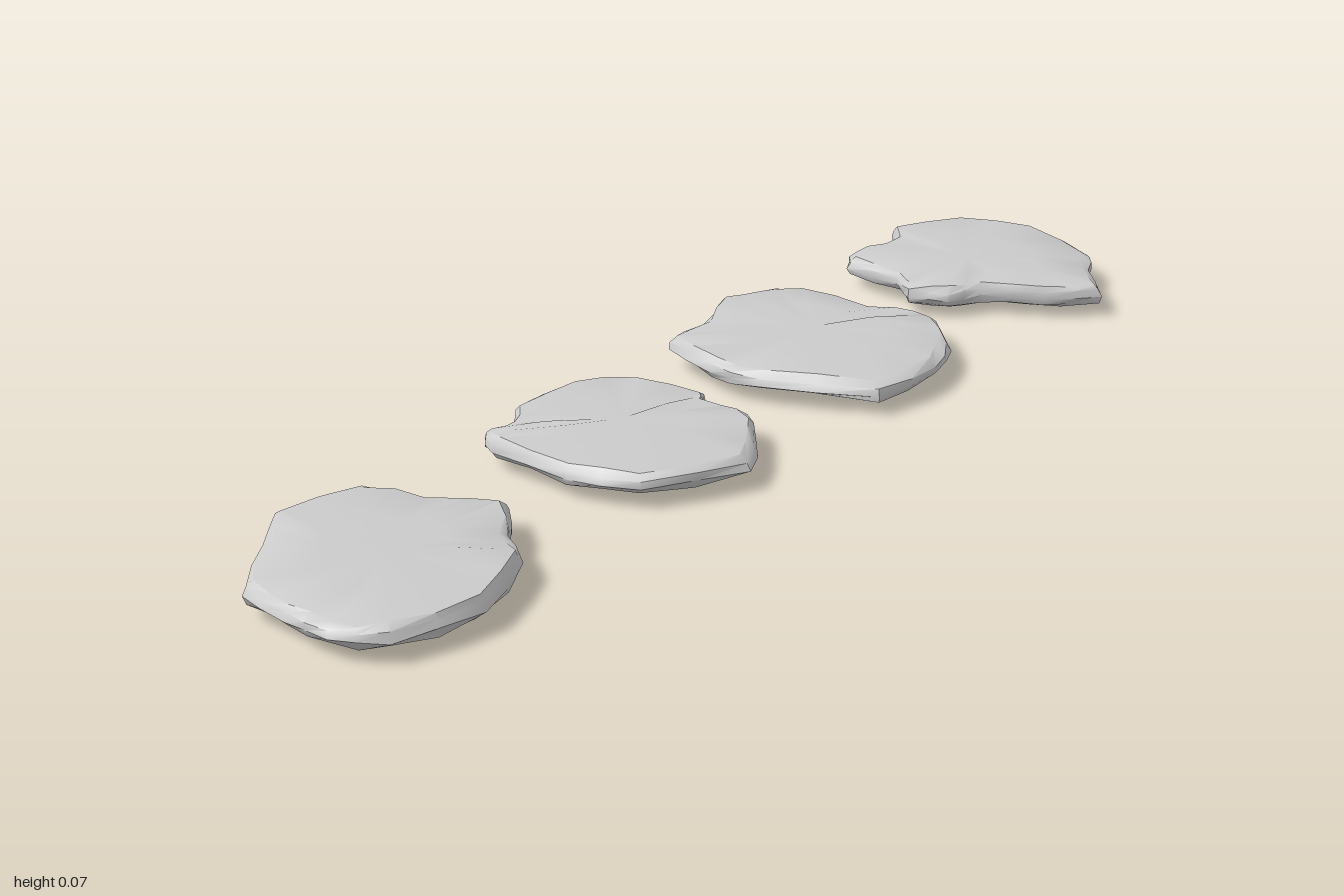
import * as THREE from 'three';
import { toCreasedNormals } from 'three/addons/utils/BufferGeometryUtils.js';

// Cross-section from underside to top: outline scale, height, scale wobble
const RINGS = [
  [.5, .012, .05],
  [.83, .016, .07],
  [.96, .025, .04],
  [1, .037, 0],
  [.98, .05, .02],
  [.93, .059, .03],
  [.5, .063, .05],
];

function seeded(seed) {
  let s = seed;
  return () => {
    s = (s * 16807) % 2147483647;
    return (s / 2147483647) * 2 - 1;
  };
}

// Joins the plan corners (x, z) with a slightly rounded closed curve
function softOutline(corners) {
  const points = [];
  for (let i = 0; i < corners.length; i += 2) points.push(new THREE.Vector3(corners[i], 0, corners[i + 1]));
  const curve = new THREE.CatmullRomCurve3(points, true, 'catmullrom', .3);
  return curve.getPoints(points.length * 2).slice(0, -1);
}

// Stacks wobbling rings of the outline and closes them with a point above and below
function stoneGeometry(corners, seed, bulge) {
  const rand = seeded(seed);
  const outline = softOutline(corners);
  const n = outline.length;
  const centre = new THREE.Vector3();
  outline.forEach((p) => centre.addScaledVector(p, 1 / n));

  const pos = [], index = [];
  RINGS.forEach(([scale, y, wobble], r) => {
    for (const p of outline) {
      const q = centre.clone().lerp(p, scale + wobble * rand());
      let h = y + .003 * rand();
      // Local bulge on the underside
      if (bulge && r < 3) h -= .012 * Math.exp(-((q.x - bulge[0]) ** 2 + (q.z - bulge[1]) ** 2) / .006);
      pos.push(q.x, Math.max(0, h), q.z);
    }
  });
  for (let r = 0; r < RINGS.length - 1; r++) {
    for (let i = 0; i < n; i++) {
      const a = r * n + i, b = r * n + (i + 1) % n;
      index.push(a, a + n, b, b, a + n, b + n);
    }
  }
  const bottom = pos.length / 3, top = bottom + 1, last = (RINGS.length - 1) * n;
  pos.push(centre.x, .012, centre.z, centre.x, .063, centre.z);
  for (let i = 0; i < n; i++) {
    const j = (i + 1) % n;
    index.push(bottom, i, j, last + i, top, last + j);
  }

  const geo = new THREE.BufferGeometry();
  geo.setAttribute('position', new THREE.Float32BufferAttribute(pos, 3));
  geo.setIndex(index);
  return toCreasedNormals(geo, .7);
}

export function createModel() {
  const group = new THREE.Group();
  group.name = 'steppingStones';
  const material = new THREE.MeshStandardMaterial({ color: 0xcccccc });

  // Corners run clockwise seen from above
  const addStone = (name, seed, corners, bulge) => {
    const stone = new THREE.Mesh(stoneGeometry(corners, seed, bulge), material);
    stone.name = name;
    group.add(stone);
  };

  addStone('farRightStone', 1234, [
    -.80, -.243, -.65, -.21, -.61, -.10, -.543, .005, -.63, .09, -.66, .145,
    -.80, .205, -.95, .165, -1, .09, -1, 0, -.99, -.10, -.88, -.18], [-.88, .08]);
  addStone('innerRightStone', 9153, [
    -.385, -.20, -.34, -.185, -.29, -.22, -.14, -.23, -.065, -.145, -.04, -.015, -.07, .005,
    -.055, .09, -.11, .15, -.20, .21, -.365, .12, -.41, 0, -.41, -.16]);
  addStone('innerLeftStone', 17072, [
    .10, -.215, .20, -.225, .31, -.262, .38, -.245, .45, -.185, .455, -.025, .49, .06,
    .48, .105, .405, .185, .31, .217, .165, .20, .07, .01, .065, -.095]);
  addStone('farLeftStone', 24991, [
    .62, -.205, .685, -.225, .78, -.20, .82, -.24, .965, -.175, 1, -.025, .945, .145,
    .87, .185, .795, .26, .72, .18, .66, .08, .60, .045, .57, -.025, .605, -.075]);
  return group;
}
